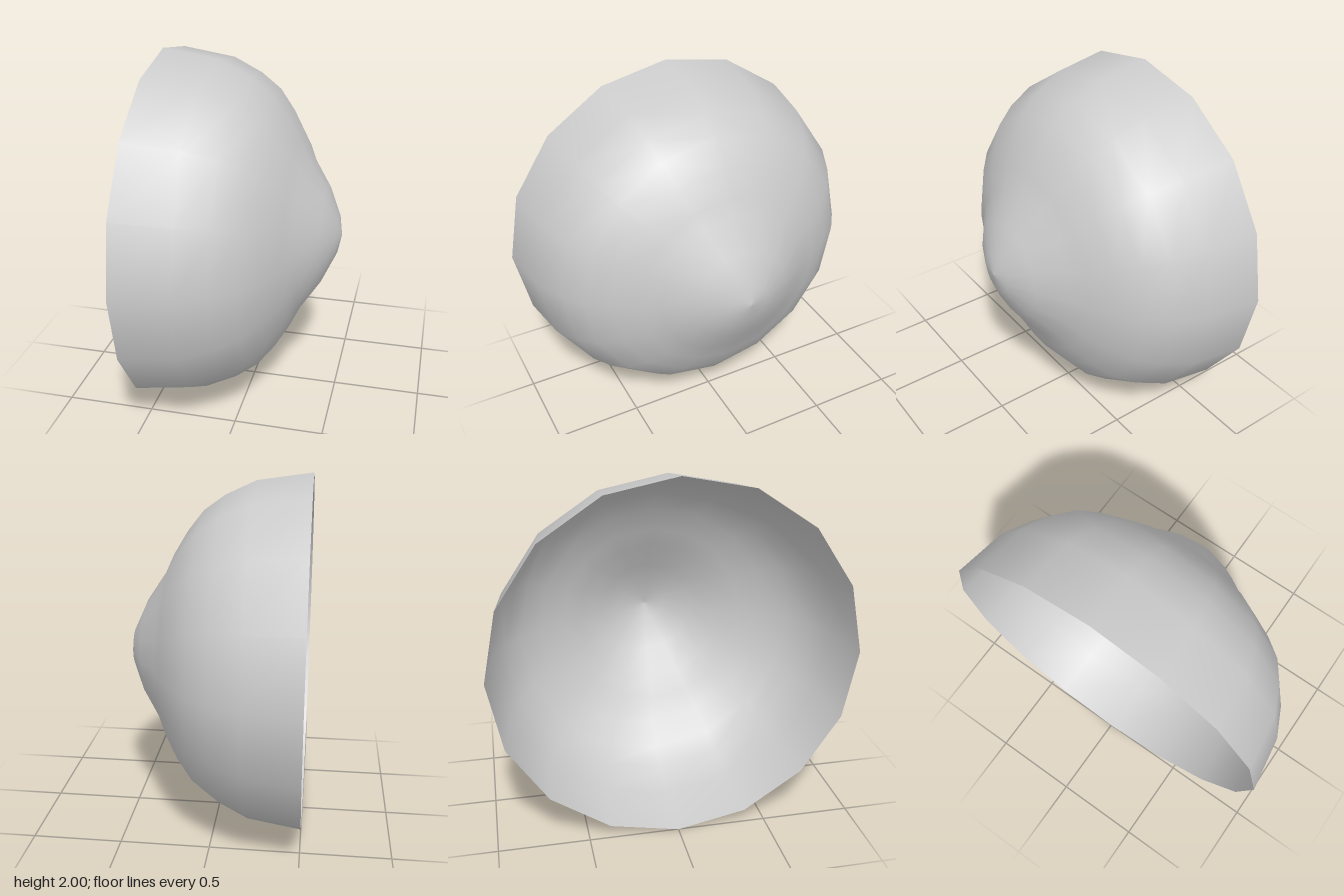
import * as THREE from 'three';

export function createModel() {
  const group = new THREE.Group();

  // Profile as [radius, distance along the axis], from open rim to nose tip
  const profile = [
    [1, -0.503], [0.955, -0.2], [0.875, -0.032], [0.79, 0.085], [0.674, 0.175],
    [0.541, 0.254], [0.435, 0.302], [0.276, 0.407], [0.111, 0.481], [0, 0.503],
  ].map(([r, h]) => new THREE.Vector2(r, h));

  // Sixteen-sided thin open bowl with a blunt nose, turned to point along +x
  const geometry = new THREE.LatheGeometry(profile, 16);
  geometry.rotateZ(-Math.PI / 2);

  const shell = new THREE.Mesh(
    geometry,
    new THREE.MeshStandardMaterial({ color: 0xcccccc, side: THREE.DoubleSide })
  );
  shell.name = 'domeShell';
  shell.position.y = 1;
  group.add(shell);
  return group;
}
